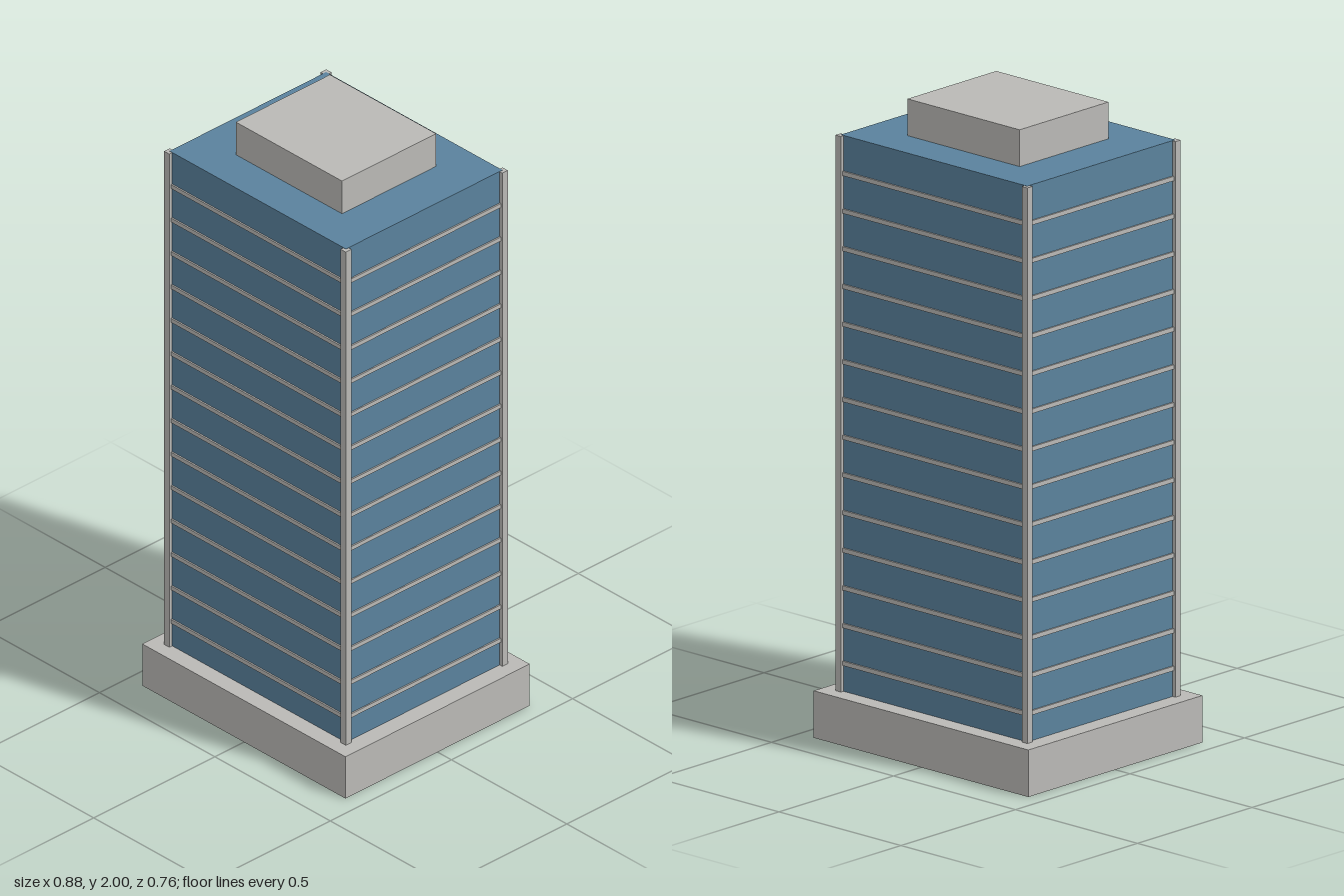
import * as THREE from 'three';

const concrete = new THREE.MeshStandardMaterial({ color: 0xbab9b6 });
concrete.name = 'concrete';
const glass = new THREE.MeshStandardMaterial({ color: 0x5a829d });
glass.name = 'glass';

// A named box standing on height y
function block(name, material, w, h, d, x, y, z) {
  const mesh = new THREE.Mesh(new THREE.BoxGeometry(w, h, d), material);
  mesh.name = name;
  mesh.position.set(x, y + h / 2, z);
  return mesh;
}

export function createModel() {
  const model = new THREE.Group();
  model.name = 'officeTower';
  const W = 0.764, D = 0.646, BASE = 0.147, TOP = 1.885, FLOORS = 16;

  // Podium, glazed shaft and rooftop plant room
  model.add(block('podium', concrete, 0.88, BASE, 0.76, 0, 0, 0));
  model.add(block('glassShaft', glass, W, TOP - BASE, D, 0, BASE, 0));
  model.add(block('plantRoom', concrete, 0.46, 2 - TOP, 0.388, 0, TOP, 0));

  // Floor bands wrapping the shaft above the podium
  const bands = new THREE.Group();
  bands.name = 'floorBands';
  const step = TOP / FLOORS, thick = 0.014;
  for (let i = 2; i < FLOORS; i++) {
    bands.add(block('floorBand', concrete, W + 0.01, thick, D + 0.01, 0, i * step - thick / 2, 0));
  }
  model.add(bands);

  // Posts centred on the four corners, just below the roof surface
  const posts = new THREE.Group();
  posts.name = 'cornerPosts';
  for (const sx of [-1, 1]) {
    for (const sz of [-1, 1]) {
      posts.add(block('cornerPost', concrete, 0.023, TOP - BASE - 0.001, 0.023, sx * W / 2, BASE, sz * D / 2));
    }
  }
  model.add(posts);

  return model;
}
